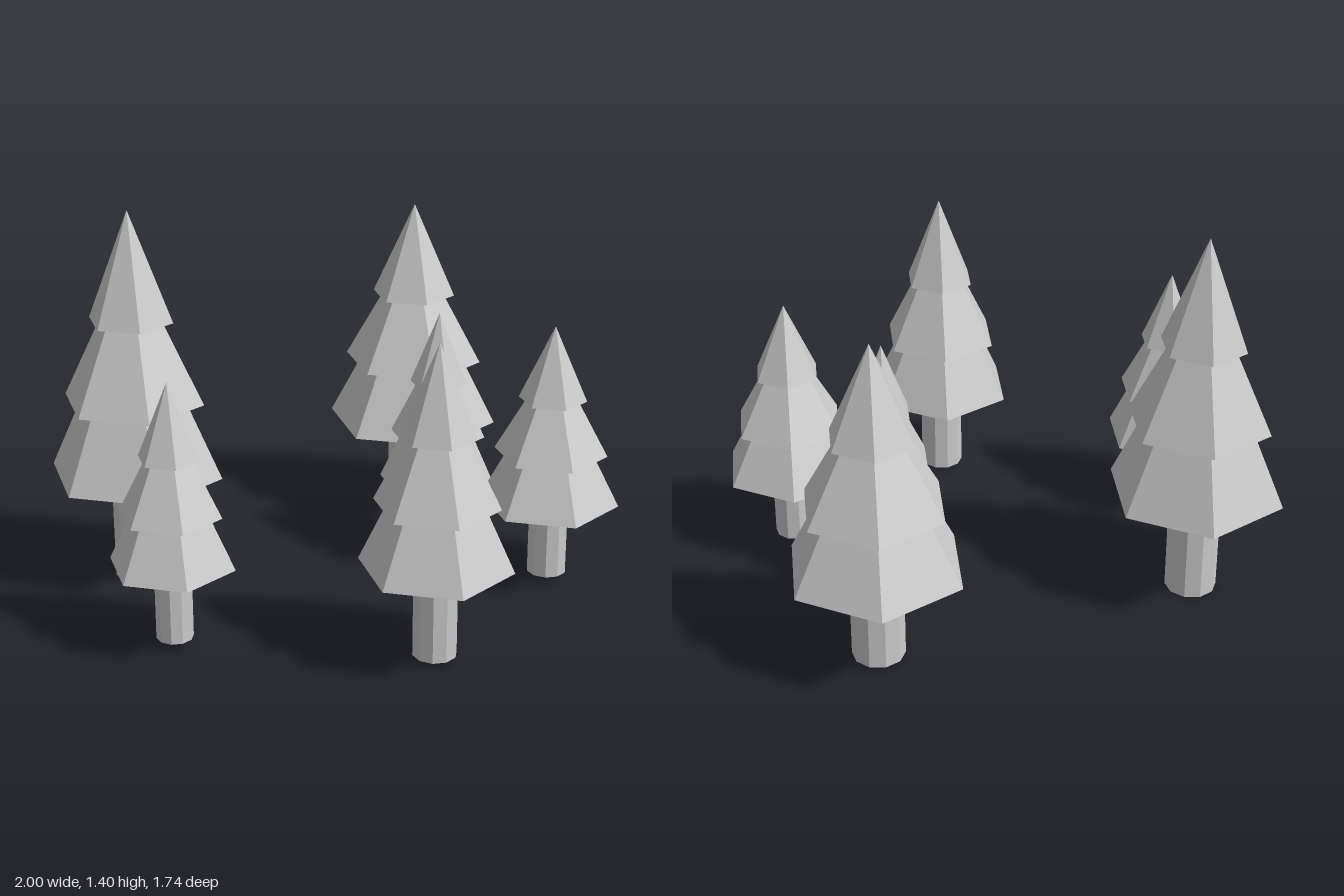
import * as THREE from 'three';

const material = new THREE.MeshStandardMaterial({ color: 0xcccccc, flatShading: true });

// position, crown radius, ground height and top height of each tree
const trees = [
  { x: -0.487, z: -0.59, r: 0.324, base: 0.0, top: 1.405 },
  { x: 0.673, z: -0.27, r: 0.326, base: 0.012, top: 1.24 },
  { x: -0.235, z: 0.635, r: 0.27, base: 0.018, top: 1.155 },
  { x: -0.775, z: -0.09, r: 0.225, base: 0.03, top: 0.978 },
  { x: 0.382, z: 0.11, r: 0.217, base: 0.03, top: 0.97 },
  { x: 0.516, z: 0.535, r: 0.254, base: 0.03, top: 0.987 },
];

// crown tiers: heights as parts of the tree height, radii as parts of the crown radius
const tiers = [
  { name: 'lowerBranches', from: 0.294, to: 0.495, bottom: 1, top: 0.61 },
  { name: 'middleBranches', from: 0.495, to: 0.711, bottom: 0.81, top: 0.36 },
  { name: 'treeTop', from: 0.711, to: 1, bottom: 0.485, top: 0 },
];

// upright prism, frustum or cone with a corner on the x axis
function column(name, rTop, rBottom, y0, y1, sides) {
  const geometry = rTop > 0
    ? new THREE.CylinderGeometry(rTop, rBottom, y1 - y0, sides, 1, false, Math.PI / 2)
    : new THREE.ConeGeometry(rBottom, y1 - y0, sides, 1, false, Math.PI / 2);
  const mesh = new THREE.Mesh(geometry, material);
  mesh.name = name;
  mesh.position.y = (y0 + y1) / 2;
  return mesh;
}

function createTree({ x, z, r, base, top }) {
  const tree = new THREE.Group();
  tree.name = 'pineTree';
  tree.position.set(x, base, z);
  const h = top - base;
  // ten-sided trunk, ending just inside the crown
  tree.add(column('trunk', r * 0.29, r * 0.29, 0, h * 0.31, 10));
  // six-sided overlapping tiers
  for (const t of tiers) {
    tree.add(column(t.name, r * t.top, r * t.bottom, h * t.from, h * t.to, 6));
  }
  return tree;
}

export function createModel() {
  const grove = new THREE.Group();
  grove.name = 'pineGrove';
  for (const spec of trees) grove.add(createTree(spec));
  return grove;
}
